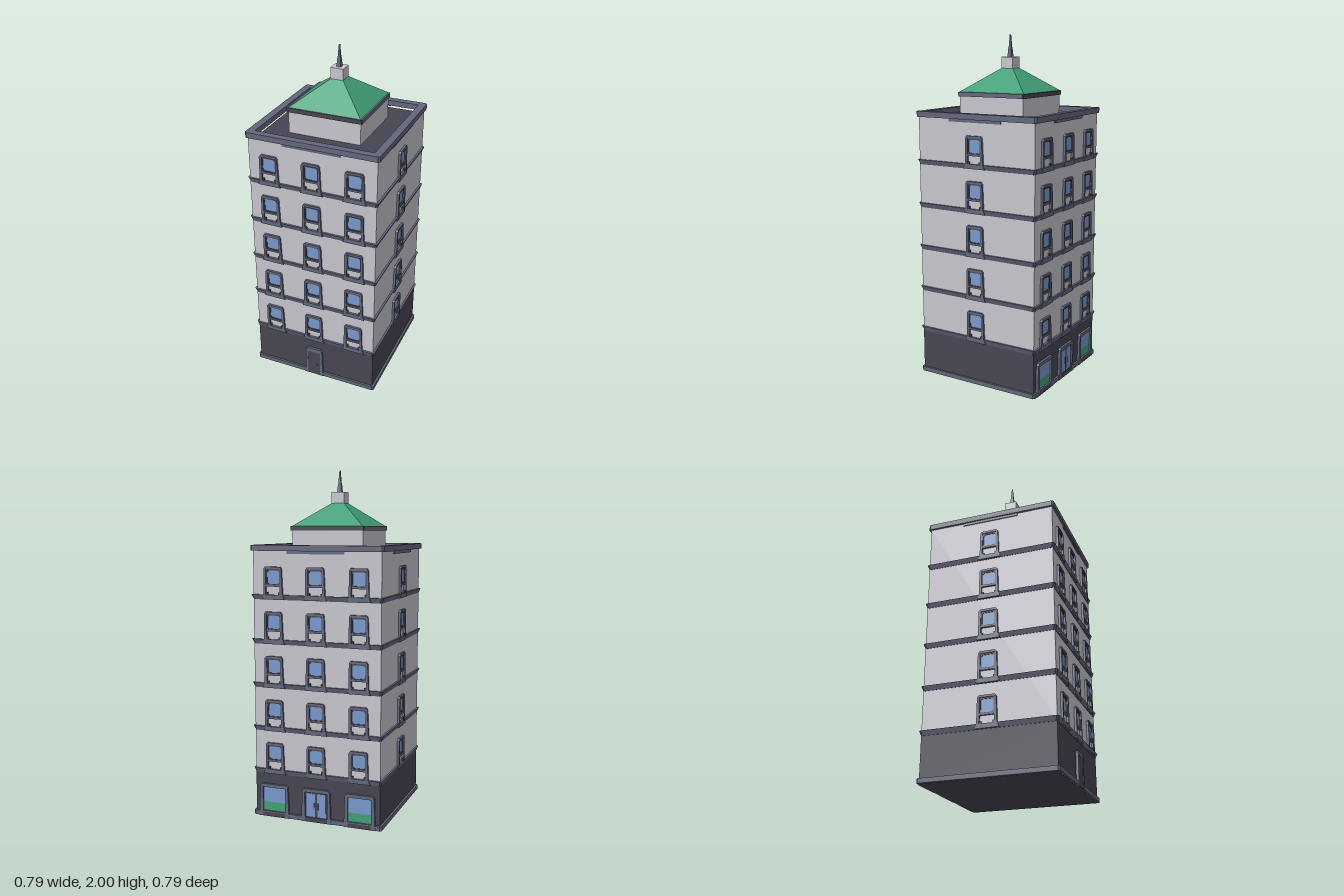
import * as THREE from 'three';

const mat = (name, color) => {
  const m = new THREE.MeshStandardMaterial({ color });
  m.name = name;
  return m;
};
const wall = mat('pale wall', 0xc7c6ce);
const trim = mat('slate trim', 0x64677c);
const dark = mat('dark stone', 0x474552);
const glass = mat('blue glass', 0x7899cc);
const green = mat('green copper', 0x41a077);

function add(parent, name, geo, material, x = 0, y = 0, z = 0) {
  const mesh = new THREE.Mesh(geo, material);
  mesh.name = name;
  mesh.position.set(x, y, z);
  parent.add(mesh);
  return mesh;
}

// box given by its lower and upper height
const block = (parent, name, m, w, y0, y1, d, x = 0, z = 0) =>
  add(parent, name, new THREE.BoxGeometry(w, y1 - y0, d), m, x, (y0 + y1) / 2, z);

const polygon = (pts, Type = THREE.Shape) => new Type(pts.map(p => new THREE.Vector2(...p)));
const rect = (x0, y0, x1, y1) => [[x0, y0], [x0, y1], [x1, y1], [x1, y0]];
const extrude = (shape, depth) => new THREE.ExtrudeGeometry(shape, { depth, bevelEnabled: false });

// rectangle with clipped corners
const clipped = (x0, y0, x1, y1, c) => [
  [x0 + c, y0], [x1 - c, y0], [x1, y0 + c], [x1, y1 - c],
  [x1 - c, y1], [x0 + c, y1], [x0, y1 - c], [x0, y0 + c]];

// square ring around the building, optionally narrower at its bottom edge
function ring(parent, name, m, half, hole, y0, y1, chamfer = 0.01, low = half) {
  const shape = polygon(chamfer ? clipped(-half, -half, half, half, chamfer) : rect(-half, -half, half, half));
  shape.holes.push(polygon(rect(-hole, -hole, hole, hole), THREE.Path));
  const geo = extrude(shape, y1 - y0).rotateX(-Math.PI / 2);
  const p = geo.attributes.position;
  for (let i = 0; i < p.count; i++) {
    if (p.getY(i) < 0.001 && Math.abs(p.getX(i)) + Math.abs(p.getZ(i)) > hole * 2 + 1e-4 - chamfer
      && Math.max(Math.abs(p.getX(i)), Math.abs(p.getZ(i))) > hole + 1e-4) {
      p.setX(i, p.getX(i) * low / half);
      p.setZ(i, p.getZ(i) * low / half);
    }
  }
  geo.computeVertexNormals();
  add(parent, name, geo, m, 0, y0, 0);
}

// four-sided frustum with flat faces
function frustum(top, bottom, height) {
  const geo = new THREE.CylinderGeometry(top * Math.SQRT2, bottom * Math.SQRT2, height, 4, 1)
    .rotateY(Math.PI / 4).toNonIndexed();
  geo.computeVertexNormals();
  return geo;
}

// group whose local +z points out of one wall
const WALL = 0.38;
function face(parent, name, turn) {
  const g = new THREE.Group();
  g.name = name;
  g.rotation.y = turn;
  parent.add(g);
  return g;
}

// window surround with flared feet, inner sash, pane and sill
const surround = polygon([[-0.066, 0], [0.068, 0], [0.065, 0.01], [0.058, 0.03], [0.052, 0.172],
  [0.044, 0.183], [-0.047, 0.183], [-0.056, 0.172], [-0.058, 0.015], [-0.066, 0.012]]);
surround.holes.push(polygon(rect(-0.043, 0.026, 0.043, 0.17), THREE.Path));
const surroundGeo = extrude(surround, 0.013);
const sash = polygon(rect(-0.043, 0.076, 0.043, 0.17));
sash.holes.push(polygon(clipped(-0.037, 0.087, 0.037, 0.162, 0.009), THREE.Path));
const sashGeo = extrude(sash, 0.007);
const paneGeo = extrude(polygon(clipped(-0.038, 0.086, 0.038, 0.163, 0.009)), 0.003);

function windowUnit(parent, x, y) {
  const g = new THREE.Group();
  g.name = 'window';
  g.position.set(x, y, WALL);
  parent.add(g);
  add(g, 'windowSurround', surroundGeo, trim);
  add(g, 'windowSash', sashGeo, dark);
  add(g, 'windowPane', paneGeo, glass);
  block(g, 'windowSill', trim, 0.09, 0.072, 0.083, 0.012, 0, 0.006);
  for (const s of [-1, 1]) block(g, 'windowFoot', dark, 0.012, 0.026, 0.04, 0.01, s * 0.038, 0.005);
}

// rectangular surround for street-level openings
function portal(parent, name, x, half, top, inner, innerTop) {
  const g = new THREE.Group();
  g.name = name;
  g.position.set(x, 0, WALL);
  parent.add(g);
  const shape = polygon([[-half - 0.01, 0], [-inner, 0], [-inner, innerTop], [inner, innerTop], [inner, 0],
    [half + 0.01, 0], [half + 0.005, 0.03], [half, top - 0.012], [half - 0.012, top],
    [-half + 0.012, top], [-half, top - 0.012], [-half - 0.005, 0.03]]);
  add(g, name + 'Surround', extrude(shape, 0.014), trim);
  return g;
}

export function createModel() {
  const model = new THREE.Group();
  model.name = 'building';

  // main masses
  block(model, 'groundFloor', dark, 0.76, 0, 0.265, 0.76);
  ring(model, 'upperWalls', wall, WALL, 0.36, 0.262, 1.546, 0);
  ring(model, 'baseBand', trim, 0.392, 0.37, 0.001, 0.027);

  // floor bands
  const FLOORS = 5, PITCH = 0.2533, FIRST = 0.257;
  for (let i = 0; i < FLOORS; i++) {
    const y = FIRST + i * PITCH;
    ring(model, 'floorBand', trim, 0.392, 0.37, y, y + 0.028, 0.01, 0.382);
  }

  // parapet and flat roof
  ring(model, 'parapet', trim, 0.393, 0.35, 1.543, 1.575);
  ring(model, 'parapetLining', trim, 0.359, 0.35, 1.52, 1.56, 0);
  block(model, 'flatRoof', dark, 0.71, 1.515, 1.53, 0.71);

  // walls with their windows
  const front = face(model, 'frontFace', 0);
  const back = face(model, 'backFace', Math.PI);
  const sides = [face(model, 'leftFace', Math.PI / 2), face(model, 'rightFace', -Math.PI / 2)];
  for (let i = 0; i < FLOORS; i++) {
    const y = FIRST + 0.002 + i * PITCH;
    for (const f of [front, back]) for (const x of [-0.255, 0, 0.255]) windowUnit(f, x, y);
    for (const f of sides) windowUnit(f, 0, y);
  }
  for (const f of [front, back, ...sides]) {
    block(f, 'corniceStrip', trim, 0.34, 1.527, 1.545, 0.007, 0, WALL + 0.002);
  }

  // service door on the front
  const service = portal(front, 'serviceDoor', 0, 0.052, 0.195, 0.04, 0.17);
  block(service, 'doorLeaf', dark, 0.08, 0, 0.17, 0.026, 0, 0);
  add(service, 'doorKnob', new THREE.SphereGeometry(0.005, 8, 6), trim, 0.022, 0.078, 0.015);

  // shop windows and glazed double door on the back
  for (const x of [-0.262, 0.262]) {
    const shop = portal(back, 'shopWindow', x, 0.087, 0.195, 0.07, 0.175);
    block(shop, 'shopPanel', dark, 0.14, 0, 0.03, 0.027);
    block(shop, 'shopGlass', glass, 0.14, 0.085, 0.175, 0.008);
    block(shop, 'shopGreenPanel', green, 0.14, 0.03, 0.085, 0.008);
    block(shop, 'shopSill', trim, 0.15, 0.024, 0.032, 0.028);
  }
  const entry = portal(back, 'entrance', 0, 0.084, 0.195, 0.068, 0.175);
  block(entry, 'entranceFrame', dark, 0.136, 0, 0.175, 0.012);
  block(entry, 'entranceStep', dark, 0.136, 0, 0.027, 0.026);
  for (const s of [-1, 1]) {
    block(entry, 'entranceGlass', glass, 0.052, 0.028, 0.168, 0.004, s * 0.033, 0.006);
    block(entry, 'entranceHandle', trim, 0.004, 0.075, 0.115, 0.006, s * 0.012, 0.009);
  }

  // roof house with eaves
  block(model, 'roofHouse', wall, 0.428, 1.53, 1.66, 0.42);
  block(model, 'eaves', trim, 0.446, 1.655, 1.68, 0.424);
  for (const s of [-1, 1]) block(model, 'eavesFascia', dark, 0.44, 1.654, 1.679, 0.006, 0, s * 0.214);

  // copper roof, lantern and spire
  add(model, 'copperRoof', frustum(0.037, 0.213, 0.132), green, 0, 1.746, 0);
  block(model, 'lantern', wall, 0.076, 1.81, 1.876, 0.076);
  add(model, 'spireBase', frustum(0.009, 0.013, 0.05), trim, 0, 1.9, 0);
  add(model, 'spire', frustum(0.003, 0.008, 0.076), trim, 0, 1.962, 0);

  return model;
}
